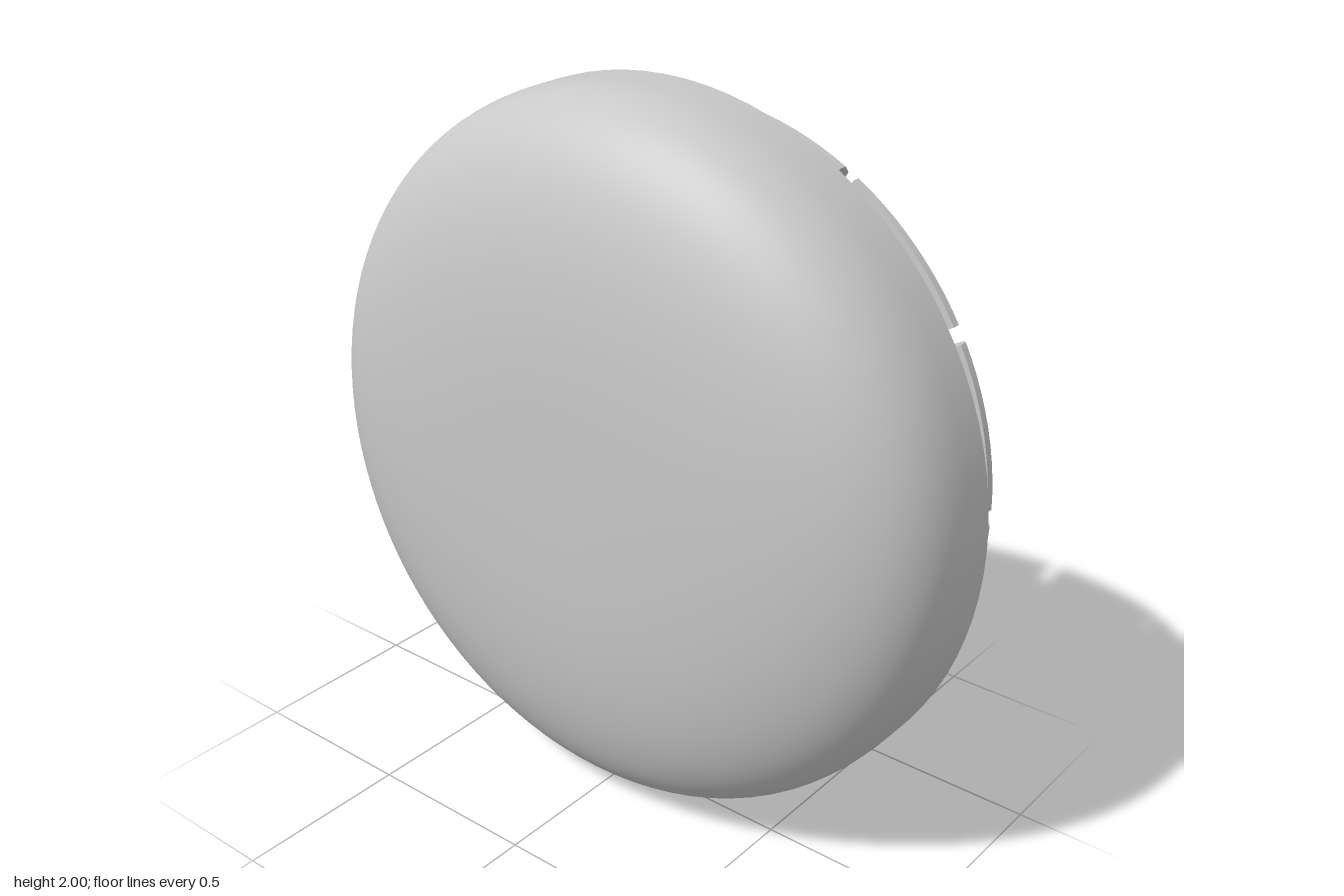
import * as THREE from 'three';
import { toCreasedNormals } from 'three/addons/utils/BufferGeometryUtils.js';

const CLIPS = 12;
const SLOT = 0.045;
const INNER = 0.866;
const BACK_X = -0.325;
const RIM_X = 0.128;
const FLOOR_X = -0.123;

// Surface of revolution about the x axis; points are [radius, x]
function revolve(name, points, material) {
  const geometry = new THREE.LatheGeometry(points.map(([r, x]) => new THREE.Vector2(r, x)), 96);
  geometry.rotateZ(-Math.PI / 2);
  const mesh = new THREE.Mesh(geometry, material);
  mesh.name = name;
  return mesh;
}

// Dome profile: a quarter superellipse from the flat back to the widest circle, then a short straight edge
function domeProfile() {
  const wideX = 0.09;
  const power = 2 / 3.1;
  const steps = 40;
  const points = [];
  for (let i = 0; i <= steps; i++) {
    const a = (i / steps) * (Math.PI / 2);
    const r = Math.sin(a) ** power;
    const depth = Math.max(Math.cos(a), 0) ** power;
    points.push([r, wideX + (BACK_X - wideX) * depth]);
  }
  return [...points, [1, RIM_X]];
}

// One hooked clip: a profile swept along an arc, with parallel-sided slots between neighbours
function clipGeometry() {
  const profile = [
    [INNER, RIM_X], [0.9, RIM_X], [0.9, 0.263], [0.922, 0.265],
    [0.922, 0.288], [0.893, 0.325], [INNER, 0.325],
  ];
  const steps = 10;
  const positions = [];
  const point = ([r, x], t) => {
    const a = t * (Math.PI / CLIPS - Math.asin(SLOT / 2 / r));
    return [x, r * Math.cos(a), r * Math.sin(a)];
  };
  const triangle = (a, b, c) => positions.push(...a, ...b, ...c);

  profile.forEach((p, i) => {
    const q = profile[(i + 1) % profile.length];
    for (let s = 0; s < steps; s++) {
      const t0 = (2 * s) / steps - 1;
      const t1 = (2 * (s + 1)) / steps - 1;
      triangle(point(p, t0), point(p, t1), point(q, t1));
      triangle(point(p, t0), point(q, t1), point(q, t0));
    }
  });

  // End faces beside the slots
  const contour = profile.map(([r, x]) => new THREE.Vector2(r, x));
  for (const [a, b, c] of THREE.ShapeUtils.triangulateShape(contour, [])) {
    triangle(point(profile[a], -1), point(profile[b], -1), point(profile[c], -1));
    triangle(point(profile[c], 1), point(profile[b], 1), point(profile[a], 1));
  }

  const geometry = new THREE.BufferGeometry();
  geometry.setAttribute('position', new THREE.Float32BufferAttribute(positions, 3));
  return toCreasedNormals(geometry, 0.3);
}

export function createModel() {
  const model = new THREE.Group();
  model.name = 'snapInCap';
  const grey = new THREE.MeshStandardMaterial({ color: 0xc8c8c8 });
  grey.name = 'grey plastic';

  const cap = new THREE.Group();
  cap.name = 'cap';
  cap.position.y = 1;
  model.add(cap);

  // Rounded outer dome, facing -x
  cap.add(revolve('dome', domeProfile(), grey));

  // Flat rim, inner wall and recessed floor
  cap.add(revolve('rim', [[1, RIM_X], [INNER, RIM_X]], grey));
  cap.add(revolve('innerWall', [[INNER, RIM_X], [INNER, FLOOR_X]], grey));
  cap.add(revolve('floor', [[INNER, FLOOR_X], [0, FLOOR_X]], grey));

  // Ring of snap clips
  const clip = clipGeometry();
  const clips = new THREE.Group();
  clips.name = 'clips';
  for (let i = 0; i < CLIPS; i++) {
    const mesh = new THREE.Mesh(clip, grey);
    mesh.name = `clip${i + 1}`;
    mesh.rotation.x = ((i + 0.5) * 2 * Math.PI) / CLIPS;
    clips.add(mesh);
  }
  cap.add(clips);

  return model;
}
